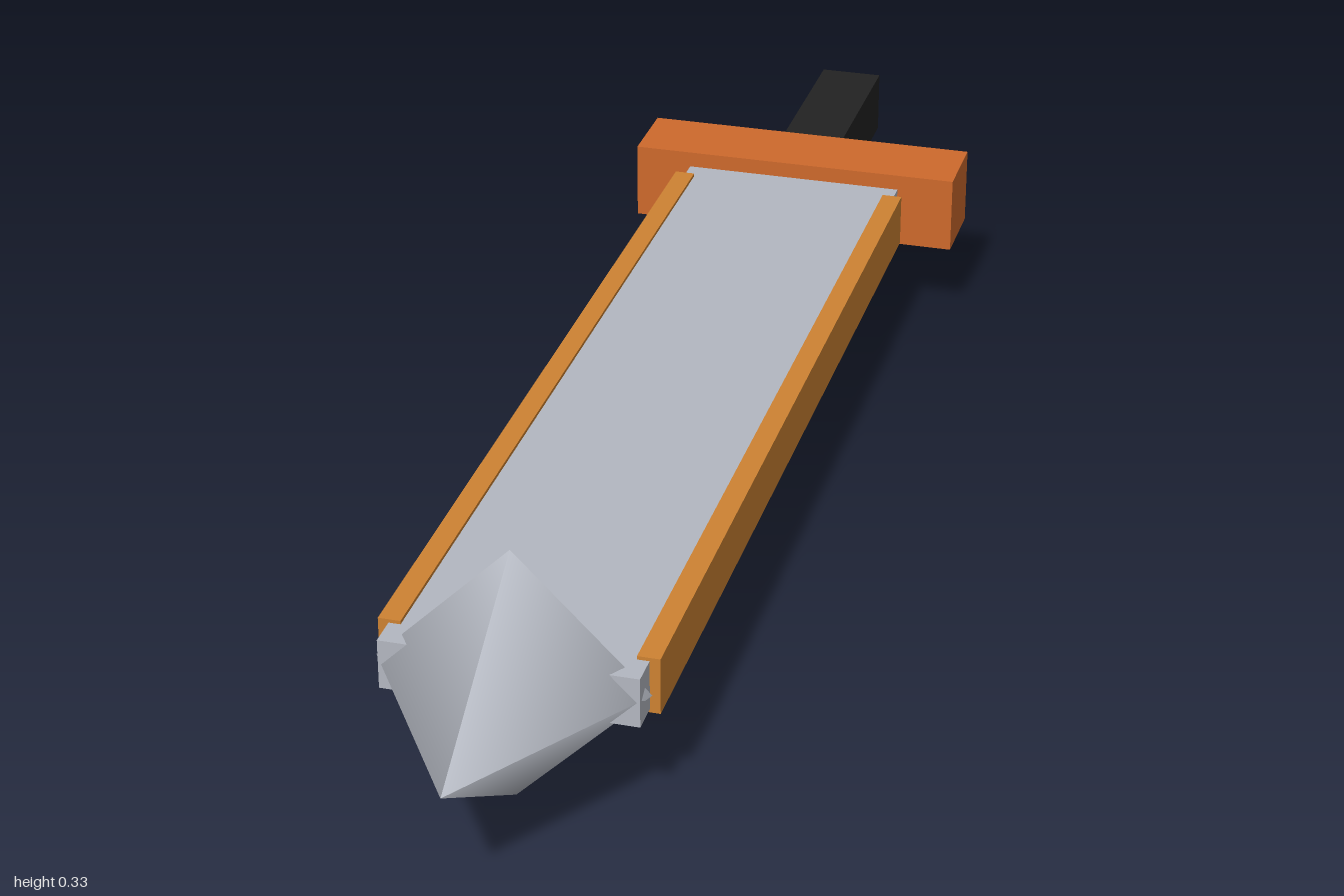
import * as THREE from 'three';

const steel = new THREE.MeshStandardMaterial({ name: 'steel', color: 0xb3b7c0 });
const bronze = new THREE.MeshStandardMaterial({ name: 'bronze', color: 0xcd8232 });
const copper = new THREE.MeshStandardMaterial({ name: 'copper', color: 0xcd692c });
const black = new THREE.MeshStandardMaterial({ name: 'black', color: 0x222222 });

const AXIS_Y = 0.167; // height of the sword's long axis

export function createModel() {
  const group = new THREE.Group();
  group.name = 'sword';

  const add = (name, geometry, material, x, z) => {
    const mesh = new THREE.Mesh(geometry, material);
    mesh.name = name;
    mesh.position.set(x, AXIS_Y, z);
    group.add(mesh);
  };
  // Box centred on the axis height, spanning z0 to z1
  const bar = (name, material, x, width, height, z0, z1) =>
    add(name, new THREE.BoxGeometry(width, height, z1 - z0), material, x, (z0 + z1) / 2);

  // Handle, guard and blade
  bar('handle', black, 0, 0.09, 0.09, -1, -0.72);
  bar('guard', copper, 0, 0.48, 0.11, -0.725, -0.613);
  bar('blade', steel, 0, 0.316, 0.065, -0.62, 0.762);

  // Cutting edges along both sides of the blade
  for (const side of [-1, 1]) {
    bar(side > 0 ? 'leftEdge' : 'rightEdge', bronze, side * 0.157, 0.028, 0.074, -0.58, 0.722);
  }

  // Four-sided tip pointing forward, with smooth normals
  const tip = new THREE.ConeGeometry(0.167, 0.258, 4);
  tip.rotateX(Math.PI / 2);
  add('tip', tip, steel, 0, 0.871);

  return group;
}
